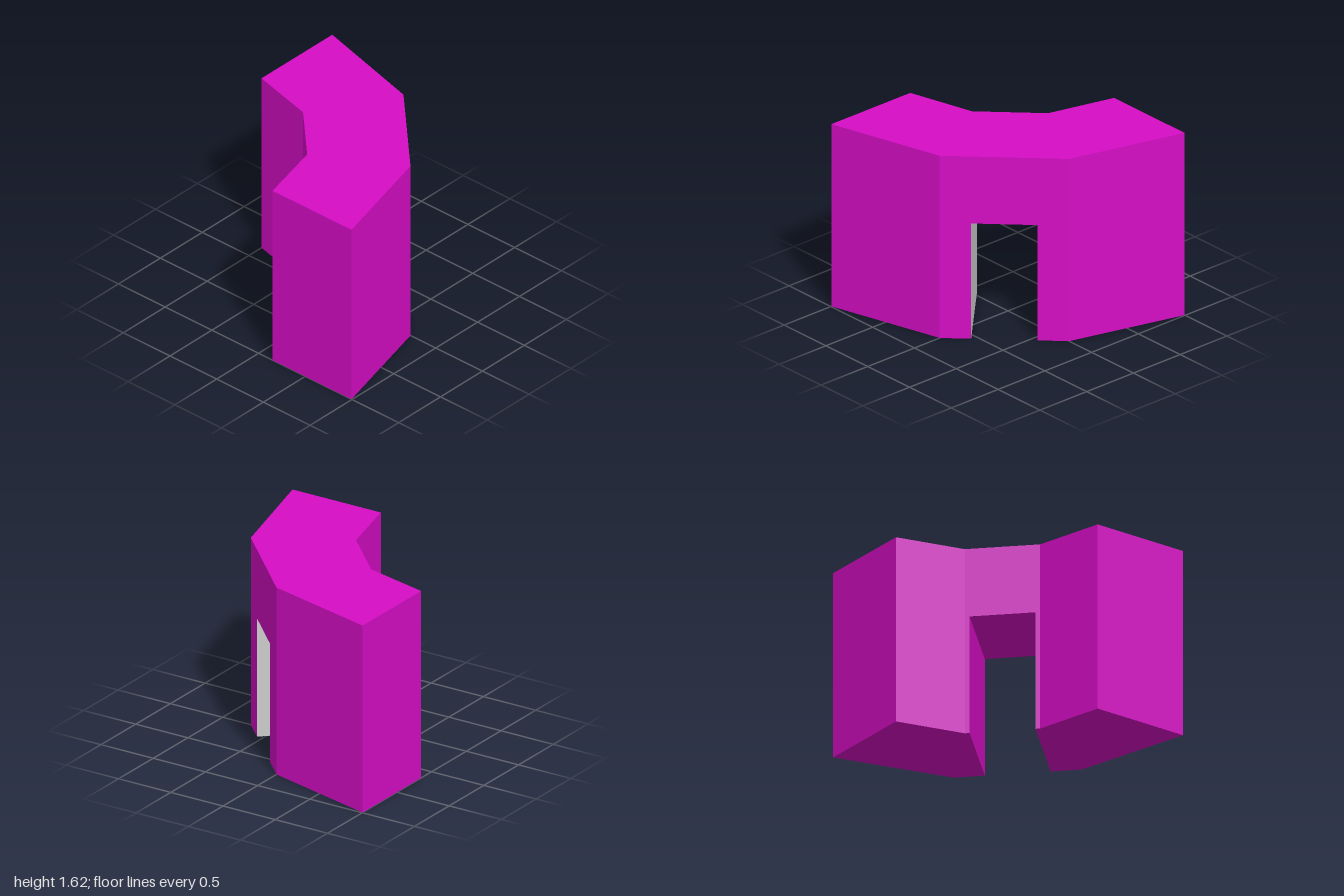
import * as THREE from 'three';
import { mergeGeometries } from 'three/addons/utils/BufferGeometryUtils.js';

const HEIGHT = 1.62;
const DOOR = 1.025;

// Vertical wall from p to q (each [x, z]), left to right as seen from outside
function wall(p, q, y0, y1) {
  const g = new THREE.PlaneGeometry(1, 1);
  const pos = g.attributes.position;
  for (let i = 0; i < 4; i++) {
    const [x, z] = pos.getX(i) < 0 ? p : q;
    pos.setXYZ(i, x, pos.getY(i) < 0 ? y0 : y1, z);
  }
  g.computeVertexNormals();
  return g;
}

// Flat horizontal slab face over a plan of [x, z] points
function slab(plan, y, up) {
  const s = up ? -1 : 1;
  const shape = new THREE.Shape(plan.map(([x, z]) => new THREE.Vector2(x, s * z)));
  return new THREE.ShapeGeometry(shape).rotateX(s * Math.PI / 2).translate(0, y, 0);
}

export function createModel() {
  const model = new THREE.Group();
  model.name = 'bentGatehouse';
  const paint = new THREE.MeshStandardMaterial({ color: 0xd60dc5, flatShading: true });
  const grey = new THREE.MeshStandardMaterial({ color: 0xcccccc, flatShading: true });

  const add = (name, parts, material) => {
    const mesh = new THREE.Mesh(mergeGeometries(parts), material);
    mesh.name = name;
    model.add(mesh);
  };

  // Plan of one pier: last edge before the back is the passage side (index 2 to 3)
  const pierA = [[-1, 0.995], [0, 0.73], [0.1775, 0.5525], [-0.3975, -0.0225], [-0.425, 0.005], [-1, 0.15]];
  // The other pier mirrors it across the diagonal x = z
  const pierB = pierA.map(([x, z]) => [z, x]).reverse();

  // Outer walls and undersides of both piers, skipping the passage side
  for (const [name, plan, skip] of [['rightPier', pierA, 2], ['leftPier', pierB, 2]]) {
    const parts = [slab(plan, 0, false)];
    plan.forEach((p, i) => {
      if (i !== skip) parts.push(wall(p, plan[(i + 1) % plan.length], 0, HEIGHT));
    });
    add(name, parts, paint);
  }

  // Passage sides
  const [frontA, backA] = [pierA[2], pierA[3]];
  const [backB, frontB] = [pierB[2], pierB[3]];
  add('passageRightSide', [wall(frontA, backA, 0, DOOR)], grey);
  add('passageLeftSide', [wall(backB, frontB, 0, DOOR)], paint);

  // Lintel over the passage: front, back and ceiling
  add('lintel', [
    wall(frontA, frontB, DOOR, HEIGHT),
    wall(backB, backA, DOOR, HEIGHT),
    slab([frontA, frontB, backB, backA], DOOR, false),
  ], paint);

  // Roof across the whole bent plan
  const outline = [...pierA.slice(0, 2), ...pierB.slice(4), ...pierB.slice(0, 2), ...pierA.slice(4)];
  add('roof', [slab(outline, HEIGHT, true)], paint);

  return model;
}
